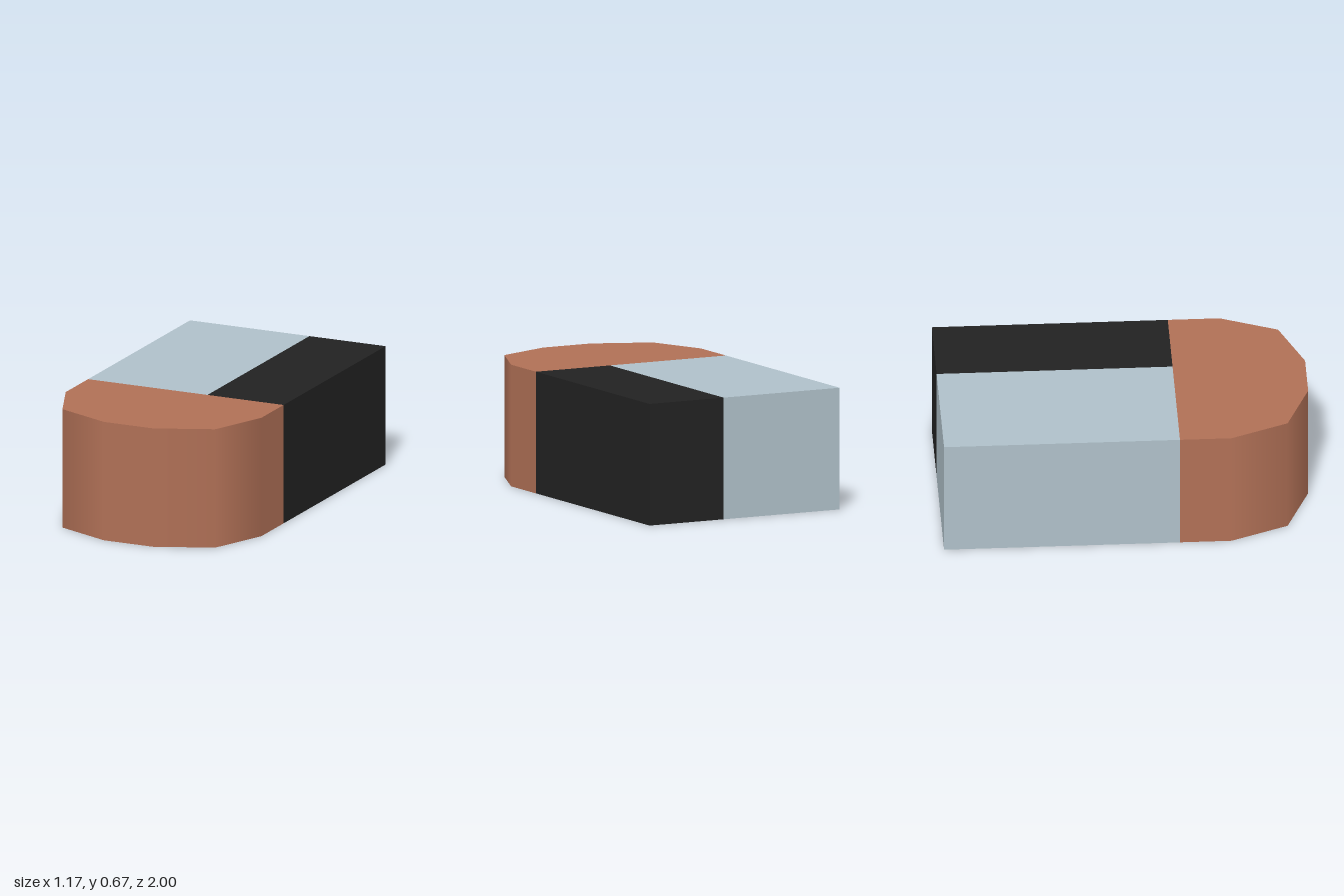
import * as THREE from 'three';

const W = 0.587;      // half width
const H = 0.667;      // height
const BACK = -1;
const JOIN = 0.28;    // where the rounded nose meets the body
const SPLIT = 0.13;   // seam between the two body blocks
const R = 0.44;       // nose corner radius

const material = (name, color) => {
  const m = new THREE.MeshStandardMaterial({ color });
  m.name = name;
  return m;
};

// Block spanning x0..x1 and the whole body length
function bodyBlock(name, x0, x1, mat) {
  const mesh = new THREE.Mesh(new THREE.BoxGeometry(x1 - x0, H, JOIN - BACK), mat);
  mesh.position.set((x0 + x1) / 2, H / 2, (JOIN + BACK) / 2);
  mesh.name = name;
  return mesh;
}

// Nose: two-segment rounded corners, extruded upward
function noseGeometry() {
  const cx = W - R, cz = 1 - R;
  const points = [new THREE.Vector2(-W, JOIN), new THREE.Vector2(W, JOIN)];
  for (const side of [1, -1]) {
    for (let i = 0; i <= 2; i++) {
      const a = (side > 0 ? i : 2 - i) * Math.PI / 4;
      points.push(new THREE.Vector2(side * (cx + R * Math.cos(a)), cz + R * Math.sin(a)));
    }
  }
  const geo = new THREE.ExtrudeGeometry(new THREE.Shape(points), { depth: H, bevelEnabled: false });
  geo.rotateX(Math.PI / 2).translate(0, H, 0);

  // Smooth the curved wall; caps and the flat back stay sharp
  const pos = geo.attributes.position, normal = geo.attributes.normal;
  const n = new THREE.Vector3();
  for (let i = 0; i < pos.count; i++) {
    if (Math.abs(normal.getY(i)) > 0.5 || normal.getZ(i) < -0.5) continue;
    const x = pos.getX(i);
    n.set(Math.sign(x) * Math.max(Math.abs(x) - cx, 0), 0, Math.max(pos.getZ(i) - cz, 0)).normalize();
    normal.setXYZ(i, n.x, n.y, n.z);
  }
  return geo;
}

export function createModel() {
  const copper = material('copper brown', 0xb07056);
  const paleBlue = material('pale blue grey', 0xafc0c9);
  const black = material('soft black', 0x222222);

  const group = new THREE.Group();
  group.name = 'roundedBlock';
  const nose = new THREE.Mesh(noseGeometry(), copper);
  nose.name = 'roundedNose';
  group.add(
    nose,
    bodyBlock('paleBody', -W, SPLIT, paleBlue),
    bodyBlock('darkBody', SPLIT, W, black)
  );
  return group;
}
